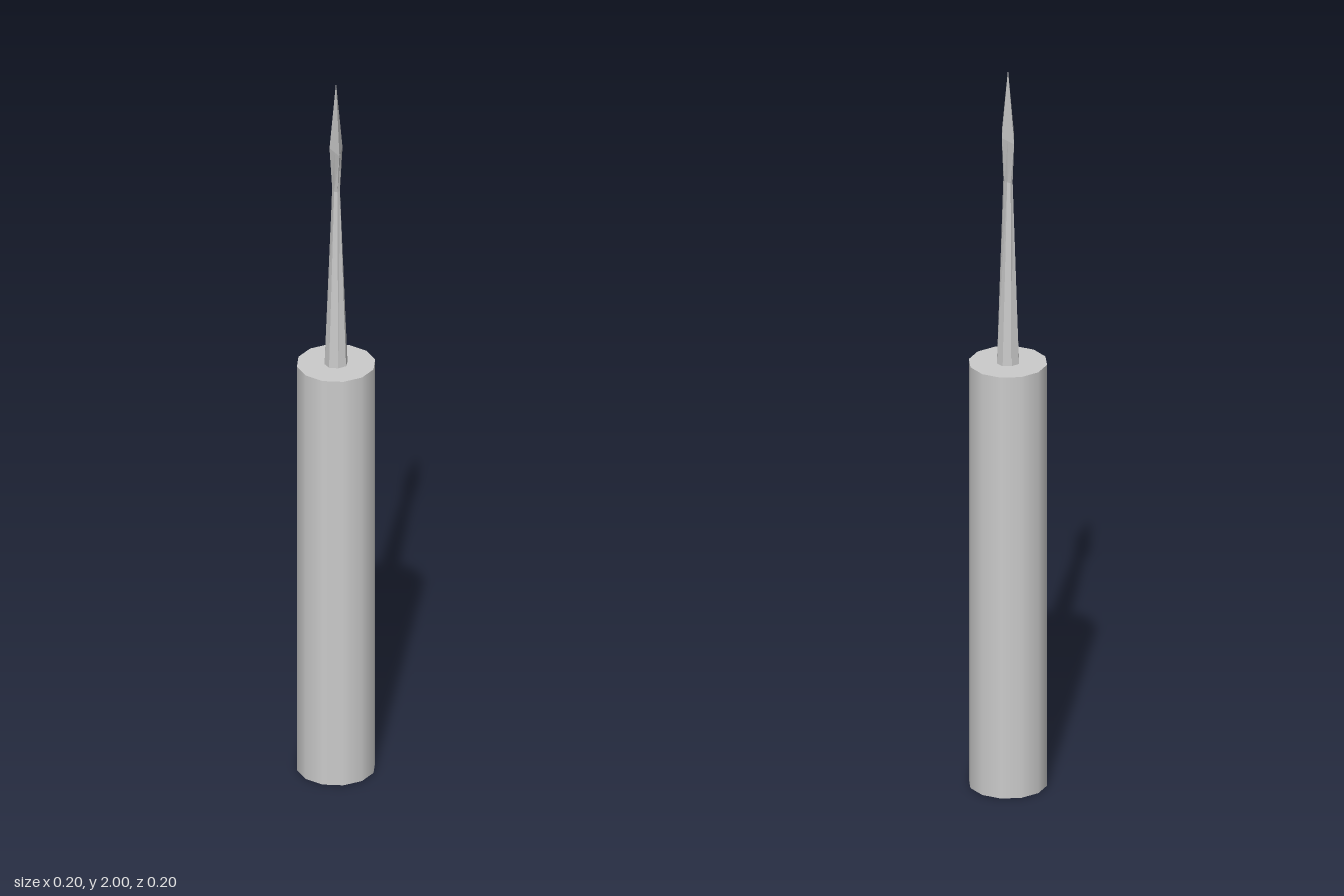
import * as THREE from 'three';

const SIDES = 8;

// Skin a stack of eight-sided rings [y, halfX, halfZ, diagonal]:
// diagonal 0.71 gives an octagon, 0.5 a diamond.
function loft(rings) {
  const positions = [], index = [];
  for (const [y, rx, rz, diagonal] of rings) {
    for (let i = 0; i < SIDES; i++) {
      const a = (i / SIDES) * Math.PI * 2;
      const k = i % 2 ? diagonal / Math.SQRT1_2 : 1;
      positions.push(Math.cos(a) * rx * k, y, Math.sin(a) * rz * k);
    }
  }
  for (let r = 0; r < rings.length - 1; r++) {
    for (let i = 0; i < SIDES; i++) {
      const a = r * SIDES + i, b = r * SIDES + (i + 1) % SIDES;
      index.push(a, a + SIDES, b, b, a + SIDES, b + SIDES);
    }
  }
  const geometry = new THREE.BufferGeometry();
  geometry.setAttribute('position', new THREE.Float32BufferAttribute(positions, 3));
  geometry.setIndex(index);
  geometry.computeVertexNormals();
  return geometry;
}

export function createModel() {
  const group = new THREE.Group();
  group.name = 'pickTool';
  const smooth = new THREE.MeshStandardMaterial({ color: 0xcccccc });
  const faceted = new THREE.MeshStandardMaterial({ color: 0xcccccc, flatShading: true });

  const add = (name, geometry, material) => {
    const mesh = new THREE.Mesh(geometry, material);
    mesh.name = name;
    group.add(mesh);
  };

  // Twelve-sided handle
  const handle = new THREE.CylinderGeometry(0.102, 0.102, 1.18, 12);
  handle.translate(0, 0.59, 0);
  add('handle', handle, smooth);

  // Shaft, flattening towards the neck
  add('shaft', loft([
    [1.18, 0.03, 0.029, 0.74],
    [1.69, 0.01, 0.02, 0.74],
  ]), faceted);

  // Diamond-section blade, wide front to back
  add('blade', loft([
    [1.69, 0.01, 0.02, 0.74],
    [1.81, 0.017, 0.047, 0.5],
    [2.0, 0, 0, 0.5],
  ]), faceted);

  return group;
}
